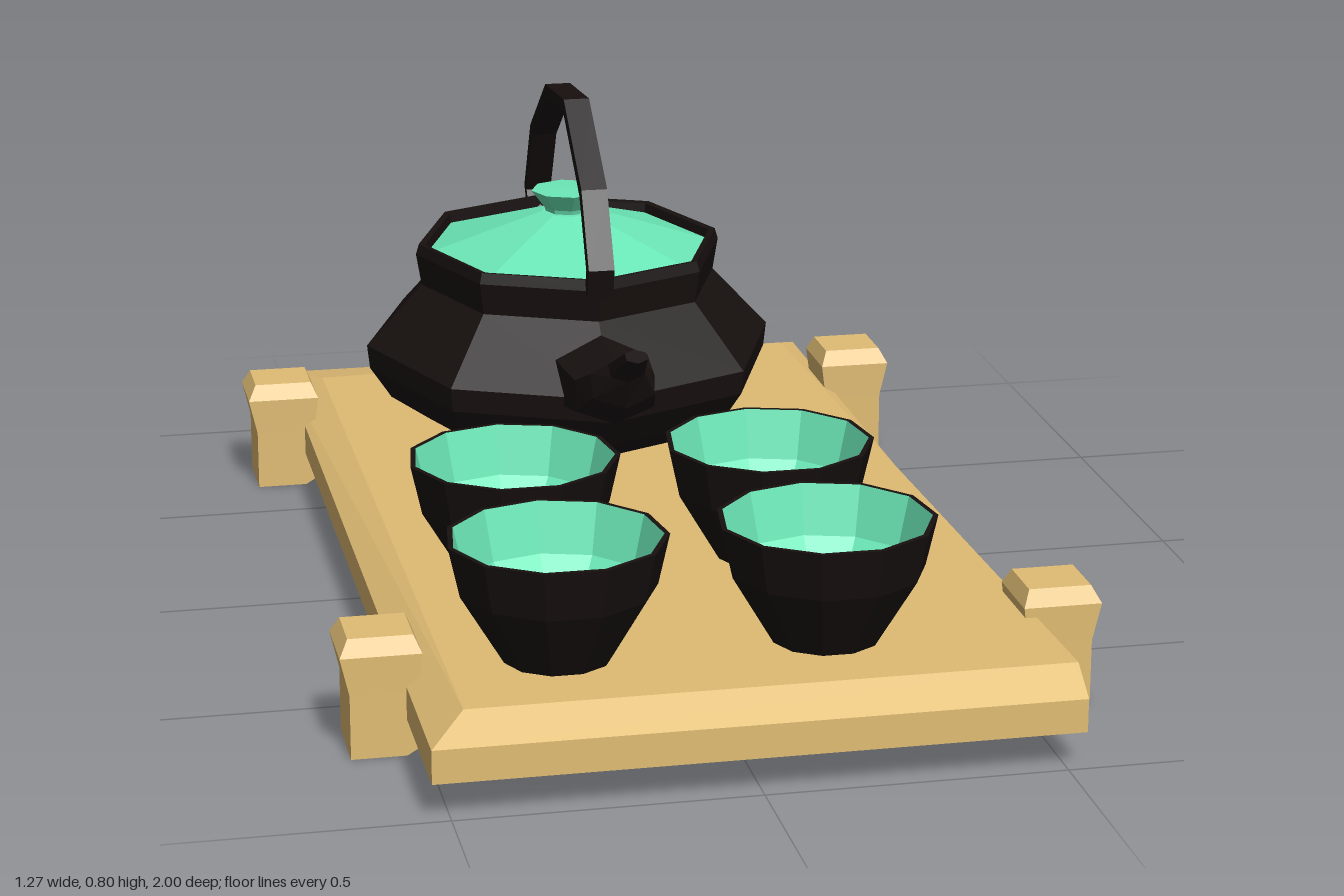
import * as THREE from 'three';

const mat = (color) => new THREE.MeshStandardMaterial({ color, flatShading: true });

// Skin over rings of equal point count, capped at both ends.
// Rings run counter-clockwise when looked at against the direction of travel.
function loft(rings) {
  const n = rings[0].length, index = [];
  rings.slice(1).forEach((_, i) => {
    for (let j = 0; j < n; j++) {
      const k = (j + 1) % n, a = i * n, b = a + n;
      index.push(a + j, a + k, b + k, a + j, b + k, b + j);
    }
  });
  const last = (rings.length - 1) * n;
  for (let j = 1; j < n - 1; j++) index.push(0, j + 1, j, last, last + j, last + j + 1);
  const geo = new THREE.BufferGeometry();
  geo.setAttribute('position', new THREE.Float32BufferAttribute(rings.flat(2), 3));
  geo.setIndex(index);
  geo.computeVertexNormals();
  return geo;
}

const rect = (x0, x1, z0, z1, y) => [[x0, y, z1], [x1, y, z1], [x1, y, z0], [x0, y, z0]];
const lathe = (pts, sides) => new THREE.LatheGeometry(pts.map(([r, y]) => new THREE.Vector2(r, y)), sides);

export function createModel() {
  const model = new THREE.Group();
  const wood = mat(0xe0bc74), iron = mat(0x17100f), glaze = mat(0x6ce8b8);
  const add = (parent, name, geo, material) => {
    const mesh = new THREE.Mesh(geo, material);
    mesh.name = name;
    parent.add(mesh);
    return mesh;
  };

  // Tray board with an uneven hand-cut bevel
  add(model, 'tray', loft([
    rect(-0.53, 0.53, -1, 1, 0.063),
    rect(-0.53, 0.53, -1, 1, 0.12),
    [[-0.47, 0.16, 0.94], [0.53, 0.16, 0.94], [0.485, 0.145, -0.92], [-0.47, 0.15, -0.85]],
  ]), wood);

  // Feet clasping the long edges
  for (const [side, z] of [[1, 0.665], [-1, 0.665], [1, -0.71], [-1, -0.71]]) {
    const ring = (inner, outer, half, y) =>
      rect(Math.min(side * inner, side * outer), Math.max(side * inner, side * outer), z - half, z + half, y);
    add(model, 'foot', loft([
      ring(0.53, 0.622, 0.065, 0),
      ring(0.51, 0.622, 0.065, 0.012),
      ring(0.512, 0.622, 0.065, 0.11),
      ring(0.503, 0.637, 0.066, 0.175),
      ring(0.515, 0.622, 0.05, 0.203),
    ]), wood);
  }

  // Kettle: octagonal body, slightly longer front to back
  const kettle = new THREE.Group();
  kettle.name = 'kettle';
  kettle.position.set(-0.03, 0, -0.53);
  model.add(kettle);
  const stretch = 1.1;
  add(kettle, 'kettleBody', lathe([
    [0, 0.155], [0.27, 0.155], [0.345, 0.205], [0.385, 0.265], [0.39, 0.31],
    [0.283, 0.425], [0.293, 0.485], [0.287, 0.505], [0.275, 0.503], [0.272, 0.48],
  ], 8), iron).scale.z = stretch;
  add(kettle, 'lid', lathe([[0.277, 0.484], [0.05, 0.557], [0, 0.557]], 8), glaze).scale.z = stretch;
  add(kettle, 'lidKnob', lathe([[0.04, 0.55], [0.045, 0.565], [0.07, 0.598], [0, 0.6]], 8), glaze);

  // Spout: each section is [top z, top y, bottom z, bottom y, half width]
  const spout = [
    [0.33, 0.405, 0.33, 0.24, 0.1],
    [0.46, 0.392, 0.46, 0.275, 0.085],
    [0.51, 0.412, 0.56, 0.335, 0.065],
    [0.54, 0.425, 0.59, 0.395, 0.035],
    [0.64, 0.47, 0.675, 0.455, 0.022],
  ].map(([zt, yt, zb, yb, w]) => Array.from({ length: 6 }, (_, i) => {
    const a = Math.PI / 2 + (i * Math.PI) / 3, s = Math.sin(a) / 2;
    return [Math.cos(a) * w, (yt + yb) / 2 + s * (yt - yb), (zt + zb) / 2 + s * (zt - zb)];
  }));
  add(kettle, 'spout', loft(spout), iron);

  // Arched handle: square bar following points [z, y] of its outer edge
  const arch = [[-0.315, 0.475], [-0.345, 0.52], [-0.27, 0.66], [-0.1, 0.78],
    [0.095, 0.795], [0.27, 0.665], [0.34, 0.53], [0.325, 0.475]];
  add(kettle, 'handle', loft(arch.map(([z, y]) => {
    const d = Math.hypot(z, y - 0.46), k = 1 - 0.026 / d;
    const zi = z * k, yi = 0.46 + (y - 0.46) * k;
    return [[-0.024, yi, zi], [0.024, yi, zi], [0.024, y, z], [-0.024, y, z]];
  })), iron);

  // Four cups: dark shell with a glazed inside
  const shell = lathe([[0, 0.158], [0.09, 0.158], [0.163, 0.28], [0.182, 0.365], [0.173, 0.365]], 11);
  const inside = lathe([[0.173, 0.365], [0.152, 0.28], [0.072, 0.185], [0, 0.185]], 11);
  for (const x of [-0.285, 0.16]) {
    for (const z of [0.335, 0.743]) {
      const cup = new THREE.Group();
      cup.name = 'cup';
      cup.position.set(x, 0, z);
      cup.rotation.y = Math.PI;
      add(cup, 'cupShell', shell, iron);
      add(cup, 'cupInside', inside, glaze);
      model.add(cup);
    }
  }
  return model;
}
